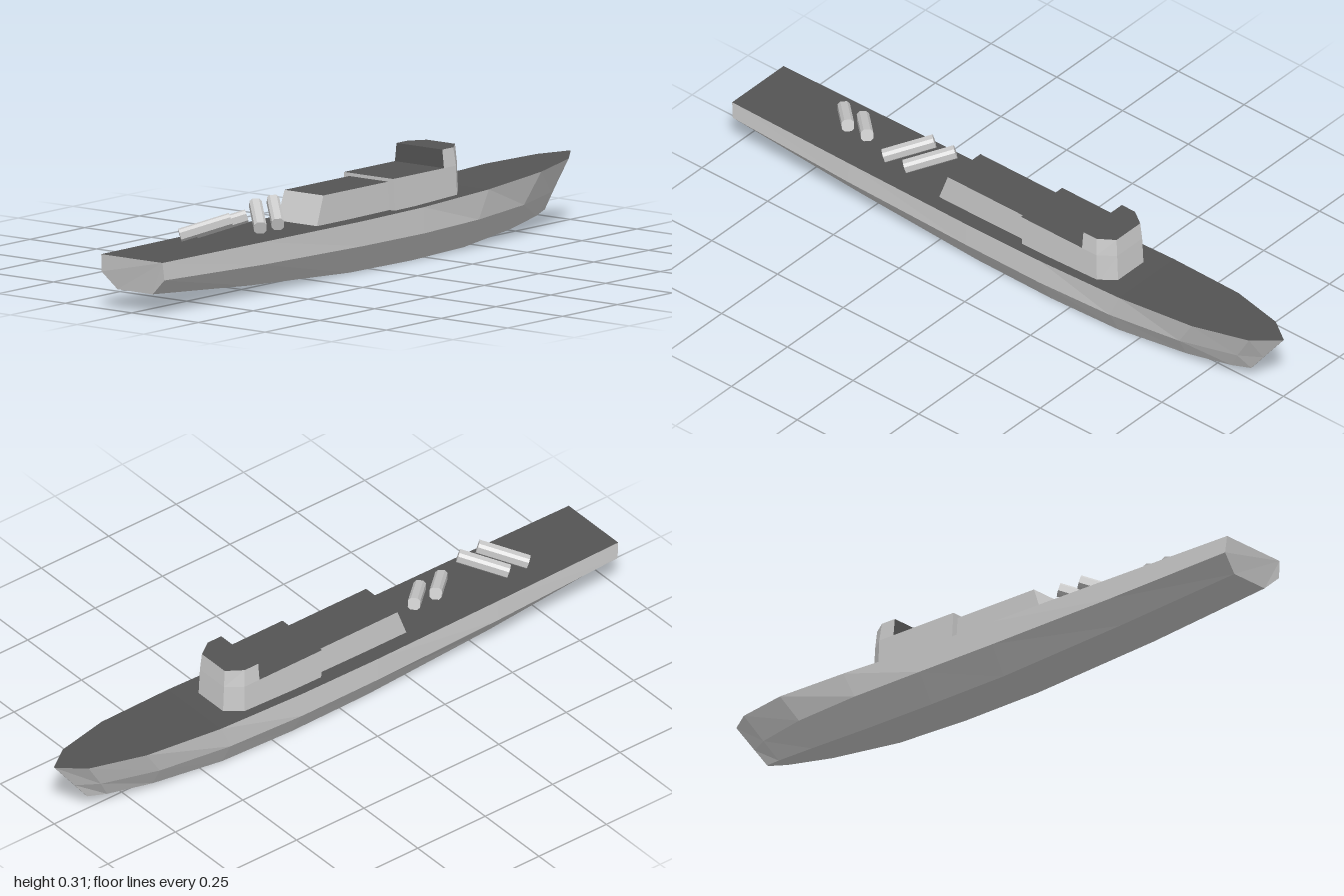
import * as THREE from 'three';

const grey = new THREE.MeshStandardMaterial({ color: 0xcccccc, flatShading: true, side: THREE.DoubleSide });
const dark = new THREE.MeshStandardMaterial({ color: 0x545454, flatShading: true, side: THREE.DoubleSide });

// Flat-shaded skin through a list of rings; optional caps on the first and last ring
function loft(rings, { closed = false, startCap = false, endCap = false } = {}) {
  const out = [];
  const tri = (a, b, c) => out.push(...a, ...b, ...c);
  const n = rings[0].length;
  for (let s = 0; s < rings.length - 1; s++) {
    for (let i = 0; i < (closed ? n : n - 1); i++) {
      const j = (i + 1) % n;
      tri(rings[s][i], rings[s][j], rings[s + 1][j]);
      tri(rings[s][i], rings[s + 1][j], rings[s + 1][i]);
    }
  }
  const last = rings[rings.length - 1];
  for (let i = 1; i < n - 1; i++) {
    if (startCap) tri(rings[0][0], rings[0][i + 1], rings[0][i]);
    if (endCap) tri(last[0], last[i], last[i + 1]);
  }
  const g = new THREE.BufferGeometry();
  g.setAttribute('position', new THREE.Float32BufferAttribute(out, 3));
  g.computeVertexNormals();
  return g;
}

function add(parent, name, geometry, material) {
  const m = new THREE.Mesh(geometry, material);
  m.name = name;
  parent.add(m);
  return m;
}

// Hull lines from stern to bow: [z, half width, y]
const sheer = [[1, 0.115, 0.16], [0.55, 0.121, 0.16], [0.1, 0.125, 0.16], [-0.18, 0.125, 0.163],
  [-0.48, 0.123, 0.174], [-0.74, 0.105, 0.188], [-0.92, 0.06, 0.197], [-1, 0.002, 0.203]];
const chine = [[0.995, 0.118, 0.108], [0.55, 0.124, 0.094], [0.1, 0.127, 0.087], [-0.18, 0.127, 0.086],
  [-0.44, 0.118, 0.09], [-0.68, 0.09, 0.097], [-0.86, 0.042, 0.104], [-0.927, 0.004, 0.108]];
const keel = [[0.985, 0.066, 0.06], [0.55, 0.073, 0.027], [0.1, 0.075, 0.003], [-0.18, 0.075, 0],
  [-0.43, 0.068, 0.004], [-0.67, 0.045, 0.021], [-0.82, 0.02, 0.037], [-0.88, 0.003, 0.046]];

const pt = ([z, w, y], side) => [side * w, y, z];

function buildHull(ship) {
  const rings = sheer.map((d, i) => [pt(d, 1), pt(chine[i], 1), pt(keel[i], 1),
    pt(keel[i], -1), pt(chine[i], -1), pt(d, -1)]);
  add(ship, 'hull', loft(rings, { startCap: true, endCap: true }), grey);
  add(ship, 'deck', loft(sheer.map((d) => [pt(d, -1), pt(d, 1)])), dark);
}

// Deckhouse from mirrored plans: half plans of [x, z] run from aft to fore
function house(parent, name, lower, y0, upper, y1, aftMaterial) {
  const g = new THREE.Group();
  g.name = name;
  const ring = (half, y) => [...half.map(([x, z]) => [x, y, z]),
    ...[...half].reverse().map(([x, z]) => [-x, y, z])];
  const a = ring(lower, y0), b = ring(upper, y1), e = a.length - 1;
  add(g, name + 'Walls', loft([a, b]), grey);
  add(g, name + 'AftWall', loft([[a[e], a[0]], [b[e], b[0]]]), aftMaterial);
  add(g, name + 'Roof', loft([b], { endCap: true }), dark);
  parent.add(g);
}

// Bevelled launcher box, raised at its far end and turned outboard
function launcher(name, z, turn) {
  const w = 0.018, c = 0.008, length = 0.155;
  const s = new THREE.Shape();
  [[w, -w + c], [w, w - c], [w - c, w], [c - w, w], [-w, w - c], [-w, c - w], [c - w, -w], [w - c, -w]]
    .forEach(([x, y], i) => (i ? s.lineTo(x, y) : s.moveTo(x, y)));
  const g = new THREE.ExtrudeGeometry(s, { depth: length, bevelEnabled: false });
  g.translate(0, 0, -length / 2);
  const m = new THREE.Mesh(g, grey);
  m.name = name;
  m.rotation.order = 'YXZ';
  m.rotation.set(0.29, turn, 0);
  m.position.set(0, 0.206, z);
  return m;
}

export function createModel() {
  const ship = new THREE.Group();
  ship.name = 'ship';
  buildHull(ship);

  // Superstructure
  house(ship, 'aftCabin', [[0.075, 0.248], [0.075, -0.09]], 0.155, [[0.073, 0.215], [0.073, -0.09]], 0.246, grey);
  house(ship, 'midCabin', [[0.094, -0.085], [0.094, -0.32]], 0.155, [[0.092, -0.08], [0.092, -0.32]], 0.256, grey);
  house(ship, 'bridgeBase', [[0.094, -0.31], [0.094, -0.37], [0.057, -0.42]], 0.155,
    [[0.092, -0.31], [0.092, -0.367], [0.056, -0.415]], 0.256, grey);
  house(ship, 'bridge', [[0.092, -0.312], [0.092, -0.367], [0.056, -0.415]], 0.256,
    [[0.086, -0.312], [0.086, -0.362], [0.053, -0.41]], 0.31, dark);

  // Crossed pairs of launchers on the aft deck
  [0.345, 0.425].forEach((z) => ship.add(launcher('forwardLauncher', z, Math.PI / 4)));
  [0.592, 0.665].forEach((z) => ship.add(launcher('aftLauncher', z, -Math.PI / 4)));
  return ship;
}
